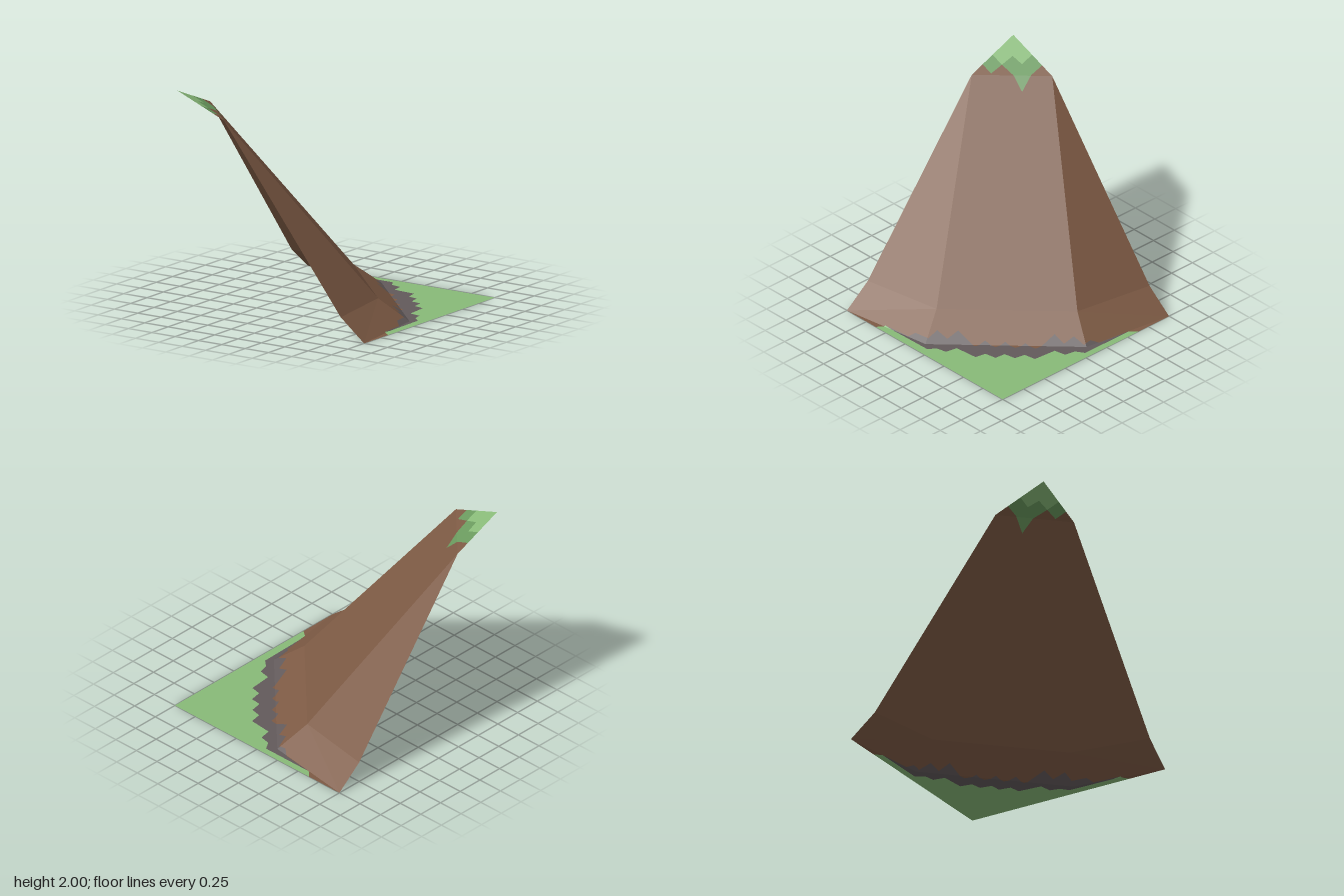
import * as THREE from 'three';

const material = (name, color) => {
  const m = new THREE.MeshStandardMaterial({ color, side: THREE.DoubleSide });
  m.name = name;
  return m;
};

// Corner points of one half; mirror() gives the other half across the diagonal
const mirror = ([x, y, z]) => [-z, y, -x];
const peak = [-1, 2, 1], corner = [1, 0, -1];
const rim = [-1, 1.8, 0.5], rimM = mirror(rim);
const kneeSide = [-1, 0.2, -0.75];
const knee = [-0.25, 0.2, -0.625], kneeM = mirror(knee);
const footSide = [-1, 0, -1];
const foot = [-0.125, 0, -0.875], footM = mirror(foot);
const bothSides = (face) => [face, face.map(mirror)];

const parts = {
  cliffTop: [[peak, rim, rimM]],
  upperSlope: [...bothSides([rim, kneeSide, knee]), [rim, knee, kneeM, rimM]],
  lowerSlope: [
    ...bothSides([kneeSide, footSide, knee]),
    ...bothSides([footSide, foot, knee]),
    [knee, foot, footM, kneeM],
  ],
  ground: [...bothSides([footSide, foot, corner]), [foot, footM, corner]],
};

// Ragged colour borders in plan (x, z)
const lightEdge = [[-1, 0.76], [-0.88, 0.76], [-0.87, 0.87], [-0.75, 0.88], [-0.75, 1]];
const turfEdge = [[-1, 0.63], [-0.88, 0.635], [-0.75, 0.62], [-0.76, 0.74], [-0.75, 0.88], [-0.63, 0.89], [-0.63, 1]];
const stoneEdge = [
  [-0.57, -0.94], [-0.26, -0.9], [-0.2, -0.85], [-0.12, -0.85], [-0.1, -0.74], [0, -0.72], [0.01, -0.61],
  [0.22, -0.59], [0.24, -0.48], [0.34, -0.46], [0.36, -0.35], [0.46, -0.33], [0.48, -0.22],
  [0.58, -0.2], [0.6, 0], [0.71, 0.02], [0.73, 0.13], [0.83, 0.14], [0.85, 0.28], [0.9, 0.32], [0.93, 0.58],
];
const grassEdge = [
  [-0.57, -0.94], [-0.05, -0.94], [0, -0.86], [0.1, -0.84], [0.12, -0.73], [0.34, -0.71], [0.36, -0.6],
  [0.46, -0.58], [0.48, -0.47], [0.58, -0.46], [0.6, -0.35], [0.7, -0.33], [0.72, -0.11],
  [0.83, -0.09], [0.85, 0], [0.92, 0.06], [0.93, 0.58],
];
const reversed = (list) => [...list].reverse();

// Keep the piece of a plan polygon inside a convex plan face
function clip(polygon, face) {
  let area = 0;
  face.forEach(([x, z], i) => {
    const [nx, nz] = face[(i + 1) % face.length];
    area += x * nz - nx * z;
  });
  return face.reduce((poly, a, i) => {
    const b = face[(i + 1) % face.length];
    const dist = (p) => Math.sign(area) * ((b[0] - a[0]) * (p[1] - a[1]) - (b[1] - a[1]) * (p[0] - a[0]));
    const out = [];
    poly.forEach((p, k) => {
      const q = poly[(k + 1) % poly.length];
      const dp = dist(p), dq = dist(q);
      if (dp >= 0) out.push(p);
      if ((dp > 0 && dq < 0) || (dp < 0 && dq > 0)) {
        const t = dp / (dp - dq);
        out.push([p[0] + (q[0] - p[0]) * t, p[1] + (q[1] - p[1]) * t]);
      }
    });
    return out;
  }, polygon);
}

// Lift every zone triangle onto the faces it covers
function drape(zone, faces) {
  const points = zone.map(([x, z]) => new THREE.Vector2(x, z));
  const triangles = THREE.ShapeUtils.triangulateShape(points, []);
  const positions = [];
  for (const face of faces) {
    const [a, b, c] = face.map((p) => new THREE.Vector3(...p));
    const plane = new THREE.Plane().setFromCoplanarPoints(a, b, c);
    const n = plane.normal;
    const lift = ([x, z]) => [x, -(n.x * x + n.z * z + plane.constant) / n.y, z];
    const outline = face.map(([x, , z]) => [x, z]);
    for (const triangle of triangles) {
      const poly = clip(triangle.map((i) => zone[i]), outline);
      for (let i = 1; i + 1 < poly.length; i++) {
        const [p, q, r] = [poly[0], poly[i], poly[i + 1]];
        const up = (q[1] - p[1]) * (r[0] - p[0]) - (q[0] - p[0]) * (r[1] - p[1]);
        if (Math.abs(up) < 1e-9) continue;
        for (const v of up > 0 ? [p, q, r] : [p, r, q]) positions.push(...lift(v));
      }
    }
  }
  const geometry = new THREE.BufferGeometry();
  geometry.setAttribute('position', new THREE.Float32BufferAttribute(positions, 3));
  geometry.computeVertexNormals();
  return geometry;
}

export function createModel() {
  const grass = material('grass', 0x88ba78);
  const darkGrass = material('dark grass', 0x6a9a5e);
  const earth = material('earth', 0x7d5a44);
  const stone = material('stone', 0x625a5b);

  const zones = [
    ['Grass', grass, [[-1, 1], ...lightEdge]],
    ['Turf', darkGrass, [...turfEdge, ...reversed(lightEdge)]],
    ['Earth', earth, [...turfEdge, [1, 1], [1, 0.63], ...reversed(stoneEdge), [-0.63, -1], [-1, -1]]],
    ['Stone', stone, [...stoneEdge, ...reversed(grassEdge.slice(1, -1))]],
    ['Lawn', grass, [[-0.63, -1], ...grassEdge, [1, 0.63], [1, -1]]],
  ];

  const model = new THREE.Group();
  model.name = 'cliffCorner';
  for (const [partName, faces] of Object.entries(parts)) {
    const part = new THREE.Group();
    part.name = partName;
    for (const [zoneName, mat, zone] of zones) {
      const geometry = drape(zone, faces);
      if (geometry.attributes.position.count === 0) continue;
      const mesh = new THREE.Mesh(geometry, mat);
      mesh.name = partName + zoneName;
      part.add(mesh);
    }
    model.add(part);
  }
  return model;
}
